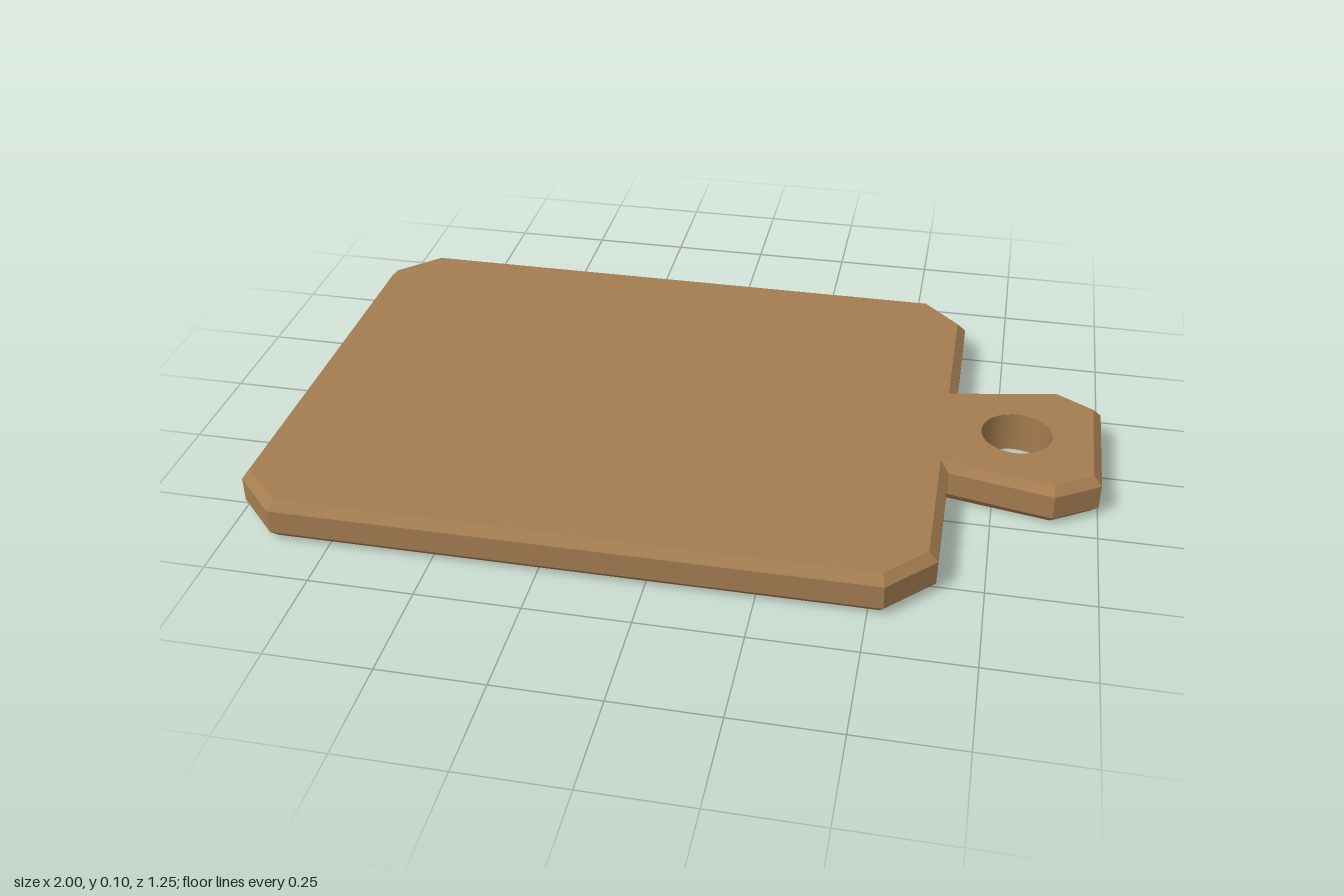
import * as THREE from 'three';

// Half outlines from the far edge to the handle tip; mirrored across the long axis.
const OUTER = [[-1, 0.515], [-0.89, 0.625], [0.535, 0.625], [0.642, 0.515], [0.642, 0.17], [0.893, 0.222], [1, 0.155]];
const INNER = [[-0.979, 0.507], [-0.881, 0.604], [0.527, 0.604], [0.62, 0.507], [0.62, 0.15], [0.889, 0.2], [0.979, 0.144]];
const HEIGHT = 0.104, BEVEL = 0.022;
const HOLE = { x: 0.795, r: 0.086, sides: 32 };

// Full counter-clockwise loop
function loop(half) {
  const lower = half.map(([x, y]) => new THREE.Vector2(x, -y));
  const upper = half.map(([x, y]) => new THREE.Vector2(x, y)).reverse();
  return [...lower, ...upper];
}

// Flat face with the hanging hole cut out
function faceGeometry(up) {
  const shape = new THREE.Shape(loop(INNER));
  shape.holes.push(new THREE.Path().absarc(HOLE.x, 0, HOLE.r, 0, Math.PI * 2, true));
  const geo = new THREE.ShapeGeometry(shape, HOLE.sides);
  geo.rotateX(up ? -Math.PI / 2 : Math.PI / 2);
  return geo.translate(0, up ? HEIGHT : 0, 0);
}

// Flat-sided band joining rings stacked from bottom to top
function bandGeometry(rings) {
  const pos = [];
  for (let k = 0; k < rings.length - 1; k++) {
    const lo = rings[k], hi = rings[k + 1], n = lo.points.length;
    for (let i = 0; i < n; i++) {
      const j = (i + 1) % n;
      const at = (ring, m) => [ring.points[m].x, ring.y, -ring.points[m].y];
      const a = at(lo, i), b = at(lo, j), c = at(hi, j), d = at(hi, i);
      pos.push(...a, ...b, ...c, ...a, ...c, ...d);
    }
  }
  const geo = new THREE.BufferGeometry();
  geo.setAttribute('position', new THREE.Float32BufferAttribute(pos, 3));
  geo.computeVertexNormals();
  return geo;
}

export function createModel() {
  const group = new THREE.Group();
  group.name = 'cuttingBoard';
  const wood = new THREE.MeshStandardMaterial({ color: 0xa47c50 });
  wood.name = 'wood';

  const add = (name, geo) => {
    const mesh = new THREE.Mesh(geo, wood);
    mesh.name = name;
    group.add(mesh);
    return mesh;
  };

  add('topFace', faceGeometry(true));
  add('bottomFace', faceGeometry(false));

  // Chamfered rim around board and handle
  const outer = loop(OUTER), inner = loop(INNER);
  add('chamferedRim', bandGeometry([
    { points: inner, y: 0 },
    { points: outer, y: BEVEL },
    { points: outer, y: HEIGHT - BEVEL },
    { points: inner, y: HEIGHT },
  ]));

  // Inward-facing wall of the hanging hole (profile runs downward)
  const wall = [new THREE.Vector2(HOLE.r, HEIGHT), new THREE.Vector2(HOLE.r, 0)];
  add('hangingHoleWall', new THREE.LatheGeometry(wall, HOLE.sides)).position.x = HOLE.x;

  return group;
}
